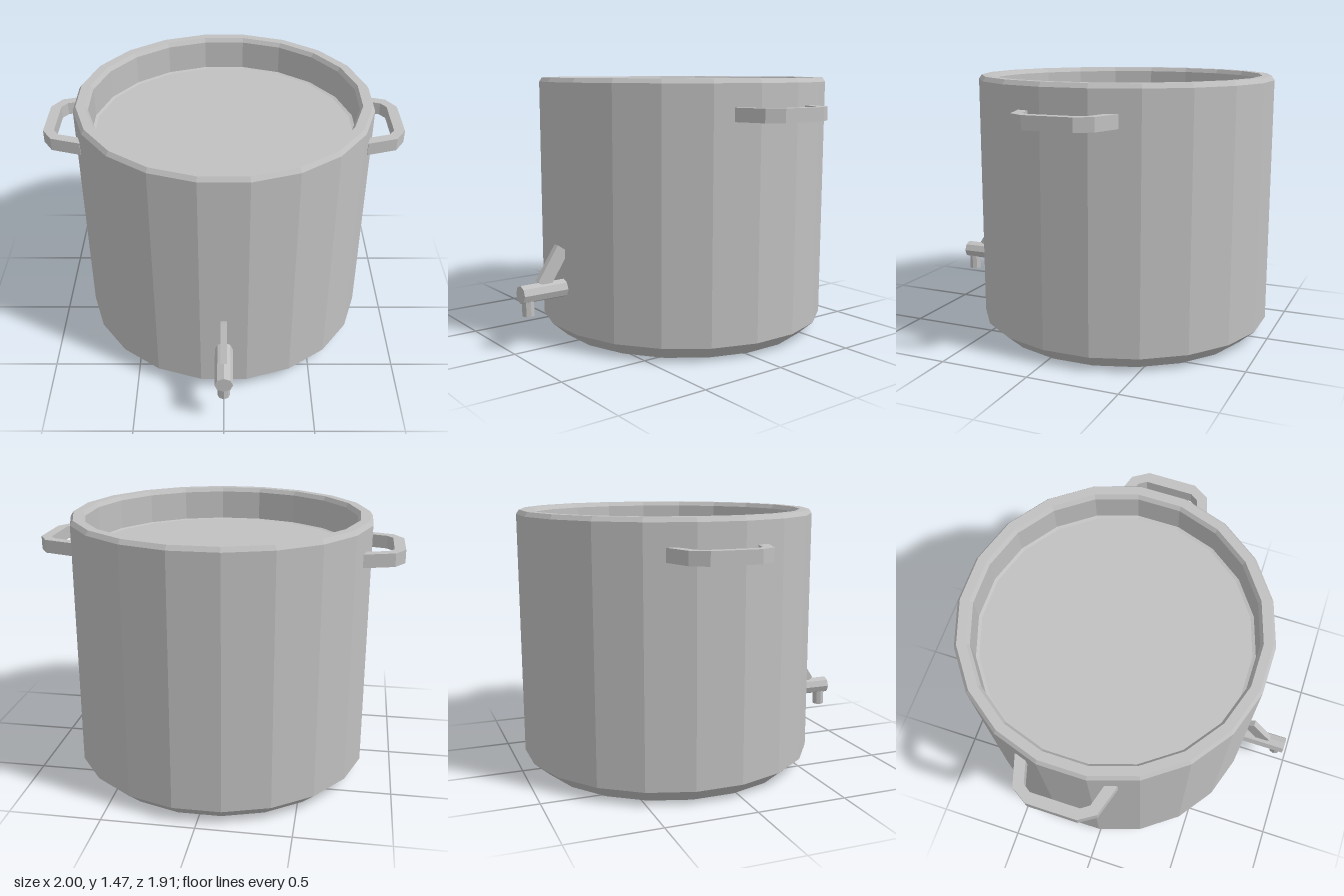
import * as THREE from 'three';

const SIDES = 20;
const POT_Z = -0.133;

// Gives every face its own normal for a faceted look
function facet(geometry) {
  const flat = geometry.index ? geometry.toNonIndexed() : geometry;
  flat.computeVertexNormals();
  return flat;
}

export function createModel() {
  const model = new THREE.Group();
  model.name = 'stockPot';
  const steel = new THREE.MeshStandardMaterial({ color: 0xc0c0c0 });
  steel.name = 'steel';

  function add(name, geometry, parent = model) {
    const mesh = new THREE.Mesh(facet(geometry), steel);
    mesh.name = name;
    parent.add(mesh);
    return mesh;
  }

  // Pot: chamfered base, straight wall, bevelled rim and inner surface.
  // Profile is [distance to flat side, height].
  const toCorner = 1 / Math.cos(Math.PI / SIDES);
  const profile = [
    [0, 0], [0.733, 0], [0.823, 0.08], [0.823, 1.443], [0.807, 1.467],
    [0.757, 1.467], [0.742, 1.443], [0.742, 1.275], [0.725, 1.27], [0, 1.27],
  ].map(([r, y]) => new THREE.Vector2(r * toCorner, y));
  const pot = add('pot', new THREE.LatheGeometry(profile, SIDES, Math.PI / SIDES));
  pot.position.z = POT_Z;

  // Side handles: angular loops, drawn in plan and extruded upward
  const half = [[0.78, 0.273], [0.945, 0.222], [1, 0.135]];
  const inner = [[0.94, 0.132], [0.91, 0.175], [0.78, 0.213]];
  const mirrored = (pts) => pts.map(([x, z]) => [x, -z]).reverse();
  const outline = [...half, ...mirrored(half), ...mirrored(inner), ...inner];
  for (const side of [1, -1]) {
    const shape = new THREE.Shape(outline.map(([x, z]) => new THREE.Vector2(x * side, z)));
    const geometry = new THREE.ExtrudeGeometry(shape, { depth: 0.072, bevelEnabled: false });
    geometry.rotateX(-Math.PI / 2);
    const handle = add(side > 0 ? 'leftHandle' : 'rightHandle', geometry);
    handle.position.set(0, 1.25, POT_Z);
  }

  // Tap: octagonal pipe, downward nozzle and tilted lever
  const tap = new THREE.Group();
  tap.name = 'tap';
  model.add(tap);

  const pipe = new THREE.CylinderGeometry(0.05, 0.05, 0.3, 8);
  pipe.rotateX(Math.PI / 2);
  add('tapPipe', pipe, tap).position.set(0, 0.32, 0.805);

  add('tapNozzle', new THREE.CylinderGeometry(0.034, 0.034, 0.1, 8), tap)
    .position.set(0, 0.25, 0.912);

  const lever = add('tapLever', new THREE.BoxGeometry(0.036, 0.225, 0.08), tap);
  lever.position.set(0, 0.45, 0.761);
  lever.rotation.x = -0.582;

  return model;
}
